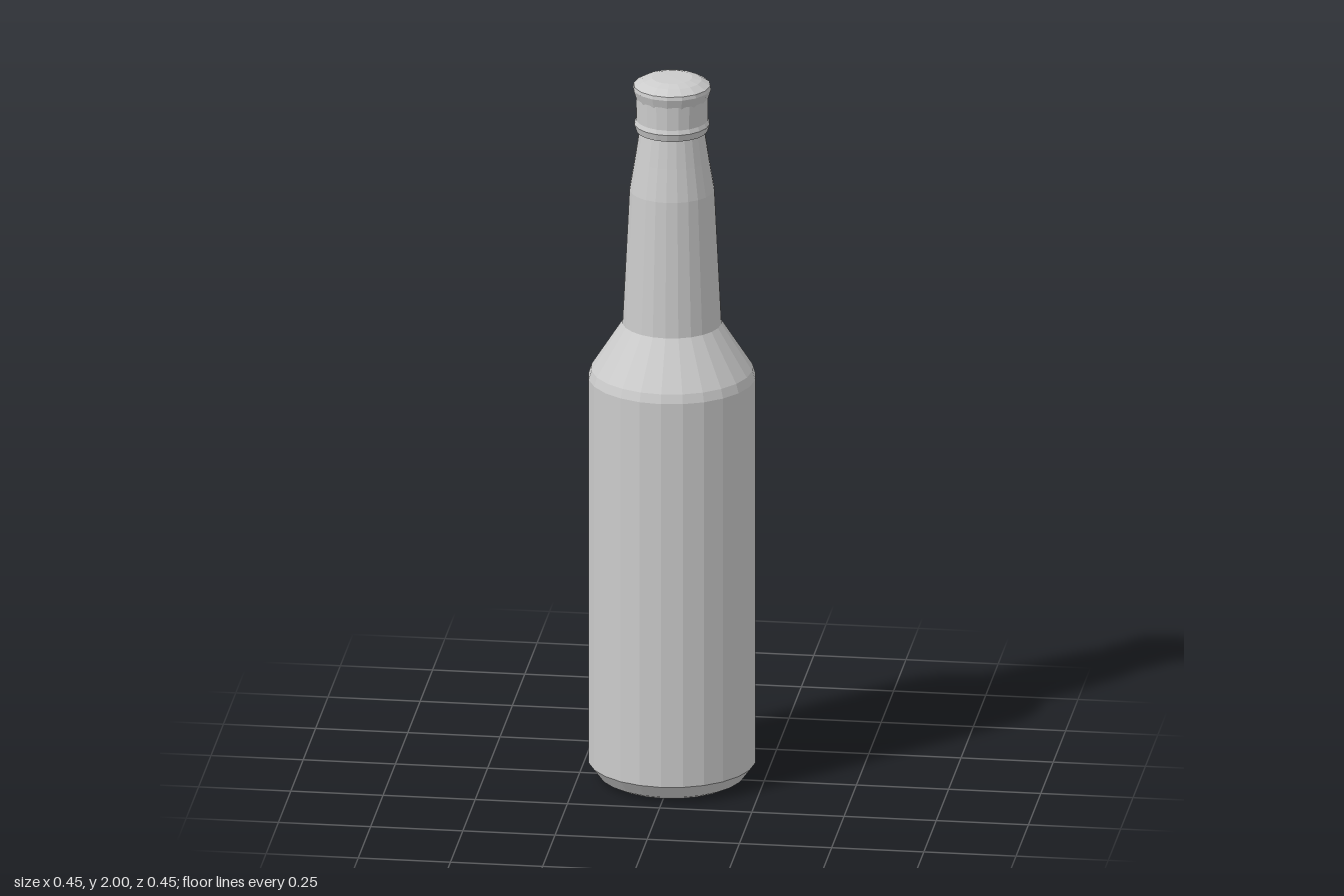
import * as THREE from 'three';

const material = new THREE.MeshStandardMaterial({ color: 0xcccccc, flatShading: true });

// Faceted solid of revolution from [radius, height] pairs, bottom to top
function turned(name, profile, sides) {
  const points = profile.map(([r, y]) => new THREE.Vector2(r, y));
  const mesh = new THREE.Mesh(new THREE.LatheGeometry(points, sides), material);
  mesh.name = name;
  return mesh;
}

export function createModel() {
  const bottle = new THREE.Group();
  bottle.name = 'bottle';

  // Flat base with bevelled edge
  bottle.add(turned('base', [[0, 0], [0.175, 0], [0.198, 0.012], [0.226, 0.05]], 24));

  // Straight body
  bottle.add(turned('body', [[0.226, 0.05], [0.226, 1.145]], 24));

  // Sloping shoulder
  bottle.add(turned('shoulder', [[0.226, 1.145], [0.218, 1.17], [0.134, 1.3]], 24));

  // Tapering neck
  bottle.add(turned('neck', [[0.134, 1.3], [0.124, 1.5], [0.115, 1.68], [0.1, 1.77], [0.088, 1.85]], 24));

  // Lip ring under the cap
  bottle.add(turned('lip', [[0.085, 1.845], [0.096, 1.848], [0.102, 1.868], [0.097, 1.88], [0.098, 1.945]], 20));

  // Flared cap with a shallow domed top
  bottle.add(turned('cap', [[0.097, 1.94], [0.106, 1.968], [0.104, 1.978], [0.08, 1.992], [0.055, 1.999], [0, 2]], 16));

  return bottle;
}
